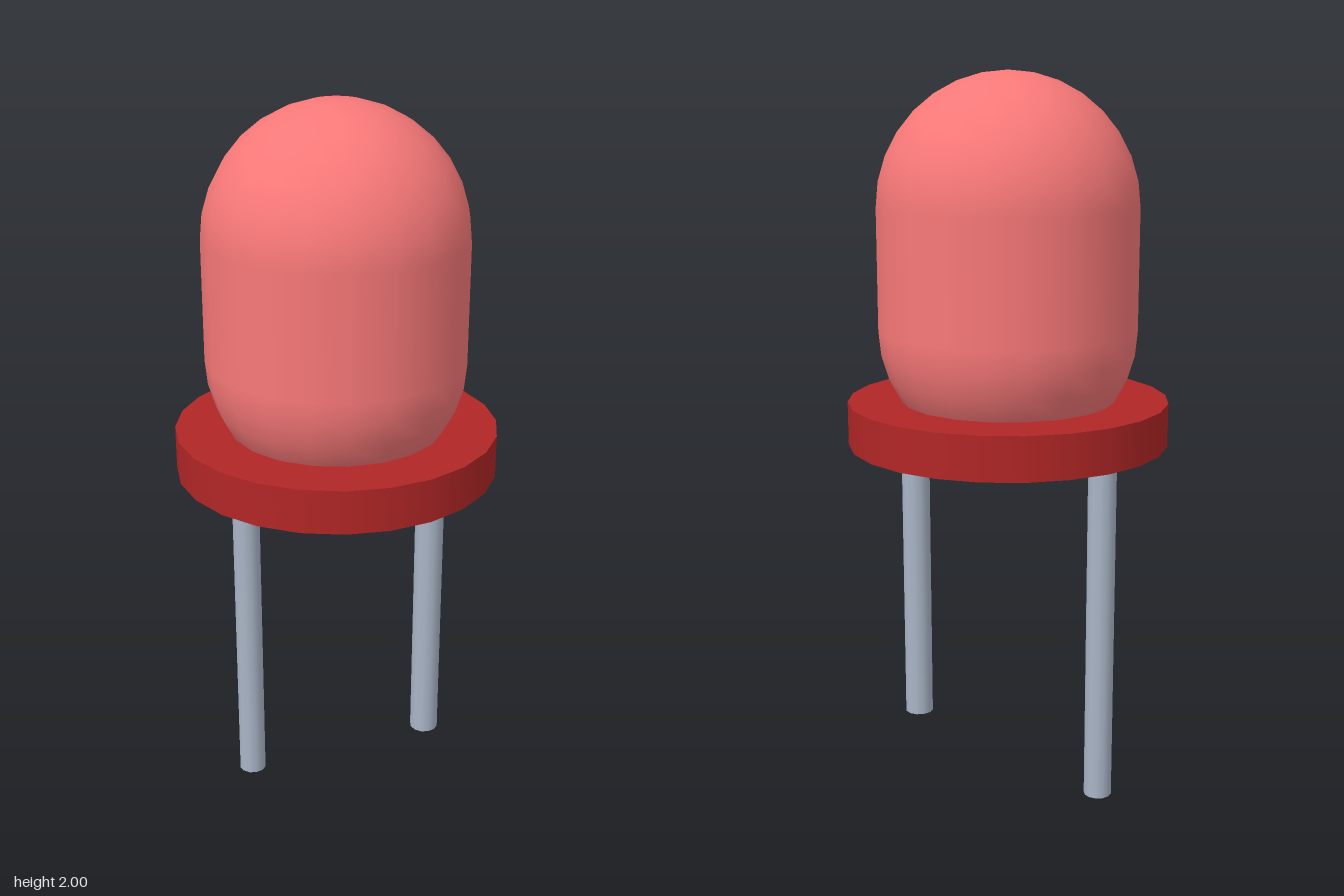
import * as THREE from 'three';

const material = (color) => new THREE.MeshStandardMaterial({ color });

export function createModel() {
  const model = new THREE.Group();
  model.name = 'indicatorLamp';

  const add = (name, geometry, mat, x, y) => {
    const mesh = new THREE.Mesh(geometry, mat);
    mesh.name = name;
    mesh.position.set(x, y, 0);
    model.add(mesh);
  };

  // Rounded lens, its lower end poking through the base ring
  add('lens', new THREE.CapsuleGeometry(0.345, 0.32, 8, 20), material(0xf87878), 0, 1.495);

  // Flat flange around the lens
  add('flange', new THREE.CylinderGeometry(0.43, 0.43, 0.117, 24), material(0xb22626), 0, 1.084);

  // Two wire legs of different lengths
  const metal = material(0xa9b5c6);
  const legTop = 1.04;
  for (const [name, x, bottom] of [['longLeg', -0.258, 0], ['shortLeg', 0.258, 0.22]]) {
    const length = legTop - bottom;
    add(name, new THREE.CylinderGeometry(0.039, 0.039, length, 12), metal, x, bottom + length / 2);
  }

  return model;
}
